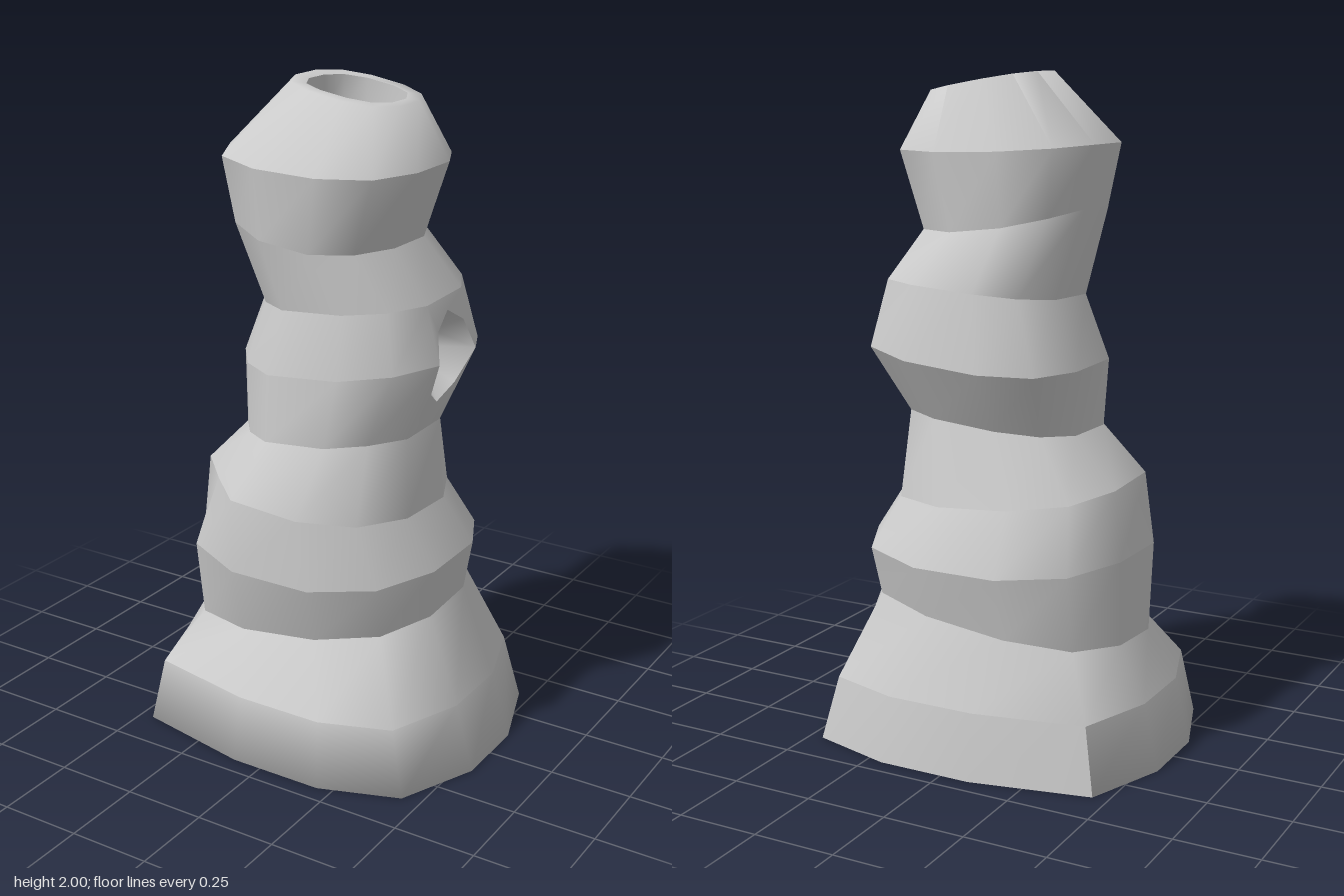
import * as THREE from 'three';
import { toCreasedNormals } from 'three/addons/utils/BufferGeometryUtils.js';

const material = new THREE.MeshStandardMaterial({ color: 0xcccccc, side: THREE.DoubleSide });

// One uneven twelve-sided ring. Extents: left, right, back, front; then the height at each of those
// sides; c = fullness of the corners (back right, back left, front left, front right);
// h = half width of the flat sides, shift = x offset of the front and back edges.
function ring([xL, xR, zB, zF, yL, yR, yB, yF, c = [0.78, 0.78, 0.78, 0.78], h = 0.32, shift = 0]) {
  const unit = [[1, -h], [c[0], -c[0]], [h, -1], [-h, -1], [-c[1], -c[1]], [-1, -h],
    [-1, h], [-c[2], c[2]], [-h, 1], [h, 1], [c[3], c[3]], [1, h]];
  return unit.map(([u, v]) => {
    const w = u * u / (u * u + v * v);
    const y = w * (yL + yR) / 2 + (1 - w) * (yB + yF) / 2 + u * (yR - yL) / 2 + v * (yF - yB) / 2;
    const x = (xL + xR) / 2 + u * (xR - xL) / 2 + (Math.abs(v) === 1 ? shift : 0);
    return new THREE.Vector3(x, y, (zB + zF) / 2 + v * (zF - zB) / 2);
  });
}

// Shading stays smooth around a band; folds sharper than the crease angle stay crisp
function meshOf(name, triangles, crease = 1.1) {
  const geometry = toCreasedNormals(new THREE.BufferGeometry().setFromPoints(triangles), crease);
  const mesh = new THREE.Mesh(geometry, material);
  mesh.name = name;
  return mesh;
}

// Quads between two rings, from one side to another
function band(lo, hi, from = 0, to = 12) {
  const out = [];
  for (let s = from; s < to; s++) {
    const i = s % 12, j = (s + 1) % 12;
    out.push(lo[i], lo[j], hi[j], lo[i], hi[j], hi[i]);
  }
  return out;
}

// Fan from a centre point, counter-clockwise loop
function fan(loop, centre) {
  return loop.flatMap((p, i) => [p, loop[(i + 1) % loop.length], centre]);
}

export function createModel() {
  const group = new THREE.Group();

  // Stacked bulging tiers, from the foot to the rim
  const tiers = [
    [-0.545, 0.545, -0.445, 0.445, 0, 0, 0, 0, [0.84, 0.83, 0.84, 0.81], 0.27, 0.055],
    [-0.50, 0.485, -0.42, 0.415, 0.2, 0.2, 0.2, 0.2, [0.84, 0.84, 0.84, 0.82], 0.28, 0.055],
    [-0.42, 0.375, -0.34, 0.305, 0.36, 0.46, 0.42, 0.38, [0.8, 0.8, 0.8, 0.79]],
    [-0.42, 0.40, -0.38, 0.37, 0.62, 0.62, 0.59, 0.58, [0.79, 0.79, 0.78, 0.77]],
    [-0.38, 0.32, -0.31, 0.365, 0.82, 0.77, 0.77, 0.80, [0.79, 0.8, 0.67, 0.77]],
    [-0.25, 0.305, -0.245, 0.285, 0.96, 1.01, 1.0, 0.99, [0.77, 0.78, 0.73, 0.73], 0.36],
    [-0.285, 0.38, -0.35, 0.275, 1.17, 1.23, 1.18, 1.19, [0.8, 0.8, 0.73, 0.77], 0.35],
    [-0.21, 0.335, -0.31, 0.245, 1.36, 1.40, 1.40, 1.38, [0.78, 0.78, 0.74, 0.76], 0.36],
    [-0.265, 0.245, -0.245, 0.275, 1.62, 1.56, 1.56, 1.56, [0.78, 0.78, 0.78, 0.75]],
    [-0.30, 0.32, -0.265, 0.30, 1.80, 1.78, 1.78, 1.775, [0.79, 0.79, 0.79, 0.79]],
    [-0.115, 0.225, -0.18, 0.16, 2.0, 1.94, 1.97, 1.97],
  ].map(ring);

  // Foot: rounded into its flat underside, except for the crisp back
  const foot = band(tiers[0], tiers[1], 4, 13);
  for (let s = 3; s < 13; s++) foot.push(tiers[0][2], tiers[0][(s + 1) % 12], tiers[0][s % 12]);
  group.add(meshOf('foot', foot, 2.2));
  group.add(meshOf('footBack', band(tiers[0], tiers[1], 1, 4)));

  // Wall bands; the two beside the hollow leave their right-hand panel open
  const walls = [];
  for (let k = 1; k < 9; k++) walls[k] = band(tiers[k], tiers[k + 1], 0, k === 5 || k === 6 ? 11 : 12);

  // Refill those panels around a notch below and above the middle ring
  const [low, mid, high] = [5, 6, 7].map((k) => [tiers[k][11], tiers[k][0]]);
  const notch = (edge, depths) => depths.map(([s, t]) => {
    const p = mid[0].clone().lerp(mid[1], s);
    return p.lerp(edge[0].clone().lerp(edge[1], s), t);
  });
  const n = notch(low, [[0, 0], [0.16, 0.44], [0.5, 0.62], [0.84, 0.44], [1, 0]]);
  const m = notch(high, [[0, 0], [0.14, 0.52], [0.5, 0.78], [0.86, 0.52], [1, 0]]);
  const [a, b] = low, [c, d] = high;
  walls[5].push(a, n[1], n[0], a, n[2], n[1], a, b, n[2], b, n[3], n[2], b, n[4], n[3]);
  walls[6].push(c, m[0], m[1], c, m[1], m[2], c, m[2], d, d, m[2], m[3], d, m[3], m[4]);
  walls.forEach((triangles, k) => group.add(meshOf(`wallBand${k}`, triangles)));

  // Rounded hollow in the side
  const outline = [...n, m[3], m[2], m[1]];
  const deep = new THREE.Vector3(0.24, 1.23, -0.035);
  const inner = outline.map((p) => {
    const q = p.clone().lerp(deep, 0.45);
    q.x = p.x + (deep.x - p.x) * 0.7;
    return q;
  });
  const bowl = fan(inner, deep);
  outline.forEach((p, i) => {
    const j = (i + 1) % outline.length;
    bowl.push(p, outline[j], inner[j], p, inner[j], inner[i]);
  });
  group.add(meshOf('sideHollow', bowl));

  // Sloping top with its rounded rim, and the shallow opening inside it
  const lip = ring([-0.08, 0.19, -0.14, 0.115, 1.99, 1.945, 1.97, 1.97]);
  const well = ring([-0.08, 0.18, -0.14, 0.115, 1.90, 1.86, 1.88, 1.88]);
  const wellCentre = new THREE.Vector3(0.05, 1.88, -0.01);
  group.add(meshOf('top', [...band(tiers[9], tiers[10]), ...band(tiers[10], lip)]));
  group.add(meshOf('topOpening', [...band(lip, well), ...fan(well, wellCentre)]));

  return group;
}
